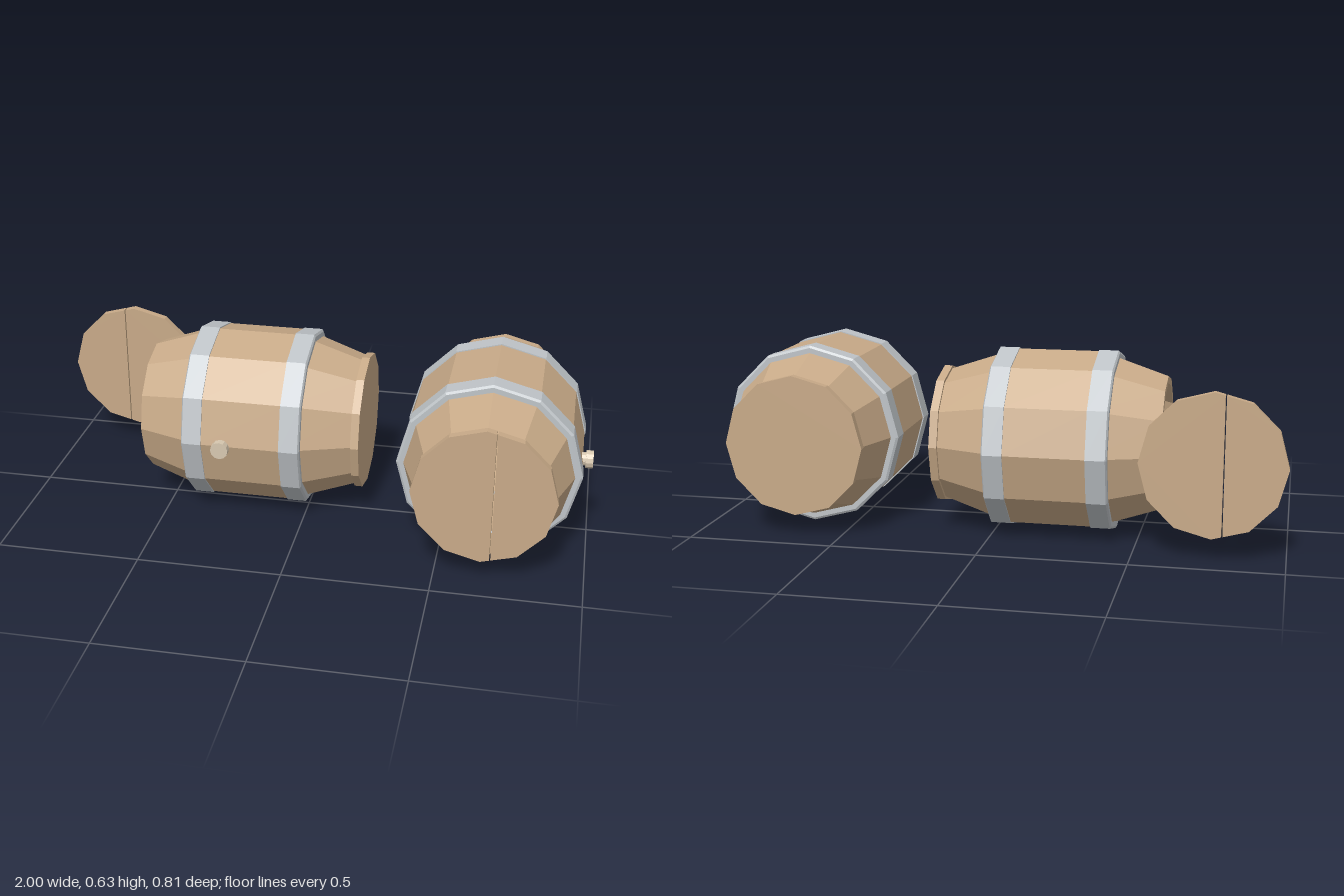
import * as THREE from 'three';

const SIDES = 12;
const LID_R = 0.242, LID_T = 0.028, END = 0.377;

const paint = (color) => new THREE.MeshStandardMaterial({ color, flatShading: true });
const wood = paint(0xc8aa88);
const iron = paint(0xbfc4c8);
const cork = paint(0xd8c8b0);

function part(name, geometry, material) {
  const mesh = new THREE.Mesh(geometry, material);
  mesh.name = name;
  return mesh;
}

// Twelve-sided ring of revolution around z; profile is [radius, z]
function turned(profile) {
  const pts = profile.map(([r, z]) => new THREE.Vector2(r, z));
  pts.push(pts[0].clone());
  return new THREE.LatheGeometry(pts, SIDES).rotateX(Math.PI / 2);
}

// Part of the lid polygon lying on one side of x = cut
function lidPlank(cut, side) {
  const ring = Array.from({ length: SIDES }, (_, i) => {
    const a = (i / SIDES) * Math.PI * 2;
    return new THREE.Vector2(LID_R * Math.cos(a), LID_R * Math.sin(a));
  });
  const pts = [];
  ring.forEach((p, i) => {
    const q = ring[(i + 1) % SIDES];
    const dp = (p.x - cut) * side, dq = (q.x - cut) * side;
    if (dp >= 0) pts.push(p);
    if (dp * dq < 0) pts.push(p.clone().lerp(q, dp / (dp - dq)));
  });
  return new THREE.ExtrudeGeometry(new THREE.Shape(pts), { depth: LID_T, bevelEnabled: false });
}

// Two-plank lid with a narrow seam, or a single disc when no seam is given
function lid(name, seam) {
  const group = new THREE.Group();
  group.name = name;
  if (seam === undefined) {
    group.add(part('lidBoard', lidPlank(-1, 1), wood));
  } else {
    for (const side of [-1, 1]) {
      group.add(part('lidPlank', lidPlank(seam + side * 0.002, side), wood));
    }
  }
  return group;
}

function barrel(name, closed) {
  const group = new THREE.Group();
  group.name = name;

  // Hollow stave body
  group.add(part('staves', turned([
    [0.232, -END], [0.31, -0.145], [0.31, 0.145], [0.232, END],
    [0.207, END], [0.285, 0.14], [0.285, -0.14], [0.207, -END],
  ]), wood));

  // Iron hoops
  for (const side of [-1, 1]) {
    const hoop = part('hoop', turned([
      [0.28, -0.036], [0.314, -0.036], [0.314, 0.031], [0.306, 0.036], [0.28, 0.036],
    ]), iron);
    hoop.position.z = side * 0.174;
    if (side < 0) hoop.rotation.y = Math.PI;
    group.add(hoop);
  }

  // Bung on the side: narrow neck and wider head
  const neck = part('bungNeck', new THREE.CylinderGeometry(0.023, 0.023, 0.04, SIDES), cork);
  const head = part('bungHead', new THREE.CylinderGeometry(0.031, 0.031, 0.025, SIDES), cork);
  neck.position.set(0.305, 0, 0.064);
  head.position.set(0.332, 0, 0.064);
  for (const piece of [neck, head]) piece.rotation.z = -Math.PI / 2;
  group.add(neck, head);

  // End lids
  const back = lid('backLid');
  back.position.z = -END - LID_T;
  group.add(back);
  if (closed) {
    const front = lid('frontLid', 0.033);
    front.position.z = END;
    group.add(front);
  }
  return group;
}

export function createModel() {
  const model = new THREE.Group();
  model.name = 'barrels';

  const sealed = barrel('sealedBarrel', true);
  sealed.position.set(0.655, 0.316, 0);

  // Open end faces -x
  const open = barrel('openBarrel', false);
  open.position.set(-0.205, 0.316, -0.093);
  open.rotation.y = -Math.PI / 2;

  const loose = lid('looseLid', -0.035);
  loose.position.set(-0.758, 0.316, -0.405);

  model.add(sealed, open, loose);
  return model;
}
